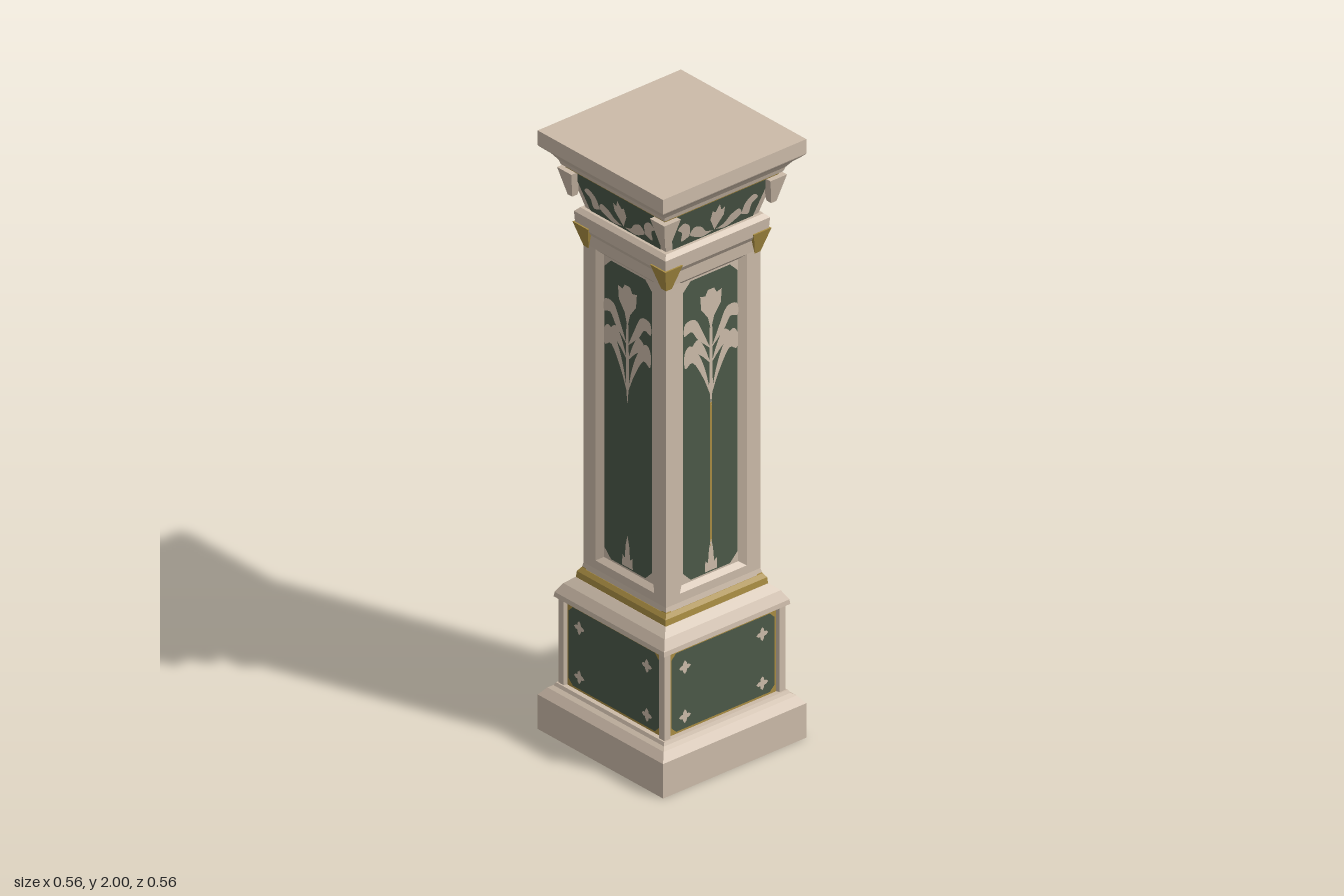
import * as THREE from 'three';

const paint = (name, color) => Object.assign(new THREE.MeshStandardMaterial({ color }), { name });
const cream = paint('cream stone', 0xcbbaa8);
const green = paint('dark green', 0x4b5848);
const gold = paint('old gold', 0xa88c42);

function add(parent, name, geometry, material, x = 0, y = 0, z = 0) {
  const mesh = new THREE.Mesh(geometry, material);
  mesh.name = name;
  mesh.position.set(x, y, z);
  parent.add(mesh);
  return mesh;
}

function faceted(geometry) {
  const g = geometry.index ? geometry.toNonIndexed() : geometry;
  g.computeVertexNormals();
  return g;
}

// Square moulding swept from [half width, y] pairs, closed at both ends
function moulding(profile) {
  const pts = [[0, profile[0][1]], ...profile, [0, profile.at(-1)[1]]];
  const v = pts.map(([h, y]) => new THREE.Vector2(h * Math.SQRT2, y));
  return faceted(new THREE.LatheGeometry(v, 4, Math.PI / 4));
}

// Recessed wall from nested rectangles [half width, bottom, top, z]
function recessedWall(loops) {
  const rings = loops.map(([w, b, t, z]) => [[-w, b, z], [w, b, z], [w, t, z], [-w, t, z]]);
  const pos = [];
  const quad = (a, b, c, d) => pos.push(...a, ...b, ...c, ...a, ...c, ...d);
  for (let i = 0; i < rings.length - 1; i++) {
    for (let k = 0; k < 4; k++) {
      const n = (k + 1) % 4;
      quad(rings[i][k], rings[i][n], rings[i + 1][n], rings[i + 1][k]);
    }
  }
  quad(...rings.at(-1));
  const g = new THREE.BufferGeometry();
  g.setAttribute('position', new THREE.Float32BufferAttribute(pos, 3));
  return faceted(g);
}

const polygon = (pts) => new THREE.Shape(pts.map(([x, y]) => new THREE.Vector2(x, y)));

// Rectangle with clipped corners
const clipped = (w, b, t, c) => new THREE.ShapeGeometry(polygon([
  [-w + c, b], [w - c, b], [w, b + c], [w, t - c], [w - c, t], [-w + c, t], [-w, t - c], [-w, b + c],
]));

// Leaf outlined by smooth curves through points, in mirrored pairs
function leafPair(points) {
  return [-1, 1].map((s) => {
    const v = points.map(([x, y]) => new THREE.Vector2(x * s, y));
    return new THREE.Shape(new THREE.SplineCurve([...v, v[0]]).getPoints(28).slice(0, -1));
  });
}

function lilyShapes() {
  return [
    // blossom
    polygon([[0, 1.42], [0.012, 1.465], [0.038, 1.5], [0.042, 1.545], [0.022, 1.54], [0.012, 1.558],
      [-0.012, 1.558], [-0.022, 1.54], [-0.042, 1.545], [-0.038, 1.5], [-0.012, 1.465]]),
    // stem
    polygon([[0, 1.16], [0.007, 1.23], [0.005, 1.43], [-0.005, 1.43], [-0.007, 1.23]]),
    // three tiers of leaves
    ...leafPair([[0.002, 1.36], [0.03, 1.42], [0.06, 1.475], [0.1, 1.475], [0.104, 1.435], [0.075, 1.44], [0.05, 1.405]]),
    ...leafPair([[0.002, 1.31], [0.025, 1.37], [0.05, 1.405], [0.075, 1.385], [0.06, 1.365], [0.035, 1.345]]),
    ...leafPair([[0.001, 1.2], [0.018, 1.28], [0.045, 1.35], [0.08, 1.395], [0.103, 1.375], [0.1, 1.325], [0.07, 1.335], [0.03, 1.27]]),
    // bud at the foot
    polygon([[-0.024, 0.618], [0.024, 0.618], [0.022, 0.655], [0.012, 0.645], [0.008, 0.69], [0, 0.725],
      [-0.008, 0.69], [-0.012, 0.645], [-0.022, 0.655]]),
  ];
}

function friezeShapes() {
  return [
    polygon([[0, 0.012], [0.012, 0.035], [0.026, 0.06], [0.024, 0.092], [0.011, 0.085], [0, 0.112],
      [-0.011, 0.085], [-0.024, 0.092], [-0.026, 0.06], [-0.012, 0.035]]),
    ...leafPair([[0.005, 0.012], [0.035, 0.022], [0.055, 0.045], [0.085, 0.058], [0.1, 0.035], [0.08, 0.018], [0.045, 0.004]]),
    ...leafPair([[0.1, 0.03], [0.108, 0.07], [0.135, 0.092], [0.155, 0.075], [0.135, 0.055], [0.13, 0.02]]),
  ];
}

// Four-petal rosettes near the pedestal panel corners
function rosetteShapes() {
  const list = [];
  for (const x of [-0.15, 0.15]) for (const y of [0.208, 0.372]) {
    const pts = [];
    for (let i = 0; i < 16; i++) {
      const a = (i / 16) * Math.PI * 2, r = 0.017 + 0.006 * Math.cos(4 * a);
      pts.push([x + r * Math.cos(a), y + r * Math.sin(a)]);
    }
    list.push(polygon(pts));
  }
  return list;
}

export function createModel() {
  const model = new THREE.Group();
  model.name = 'squareColumn';

  // Stacked mouldings
  add(model, 'plinth', moulding([[0.278, 0], [0.278, 0.115], [0.258, 0.14], [0.245, 0.148], [0.24, 0.158]]), cream);
  add(model, 'pedestalCap', moulding([[0.235, 0.438], [0.245, 0.445], [0.243, 0.46], [0.225, 0.49], [0.208, 0.505], [0.2, 0.512]]), cream);
  add(model, 'goldBand', moulding([[0.199, 0.51], [0.197, 0.532], [0.188, 0.545]]), gold);
  add(model, 'shaftFoot', moulding([[0.187, 0.544], [0.183, 0.562]]), cream);
  add(model, 'neckMoulding', moulding([[0.183, 1.63], [0.186, 1.67], [0.2, 1.69], [0.203, 1.735], [0.19, 1.748]]), cream);
  add(model, 'frieze', moulding([[0.178, 1.745], [0.215, 1.885]]), cream);
  add(model, 'friezeGoldLine', moulding([[0.22, 1.88], [0.224, 1.892]]), gold);
  add(model, 'cornice', moulding([[0.23, 1.89], [0.235, 1.905], [0.25, 1.925], [0.276, 1.948], [0.278, 1.952], [0.278, 2]]), cream);

  // Four identical sides
  const friezeTilt = Math.atan2(0.037, 0.14);
  for (let i = 0; i < 4; i++) {
    const side = new THREE.Group();
    side.name = ['front', 'left', 'back', 'right'][i] + 'Side';
    side.rotation.y = (i * Math.PI) / 2;
    model.add(side);

    add(side, 'pedestalFrame', recessedWall([[0.235, 0.15, 0.445, 0.235], [0.212, 0.157, 0.438, 0.235], [0.208, 0.158, 0.437, 0.222]]), cream);
    add(side, 'pedestalGoldBorder', clipped(0.207, 0.158, 0.438, 0.001), gold, 0, 0, 0.224);
    add(side, 'pedestalPanel', clipped(0.2, 0.166, 0.428, 0.018), green, 0, 0, 0.226);
    add(side, 'pedestalRosettes', new THREE.ShapeGeometry(rosetteShapes()), cream, 0, 0, 0.229);

    add(side, 'shaftFrame', recessedWall([[0.183, 0.555, 1.64, 0.183], [0.13, 0.59, 1.63, 0.183], [0.11, 0.605, 1.615, 0.168]]), cream);
    add(side, 'shaftPanel', clipped(0.106, 0.612, 1.61, 0.03), green, 0, 0, 0.17);
    add(side, 'lilyOrnament', new THREE.ShapeGeometry(lilyShapes()), cream, 0, 0, 0.173);
    if (i === 0) add(side, 'goldStem', new THREE.PlaneGeometry(0.008, 0.48), gold, 0, 0.94, 0.173);

    // Sloping frieze decoration
    const friezeArt = new THREE.Group();
    friezeArt.name = 'friezeDecoration';
    friezeArt.position.set(0, 1.747, 0.1805);
    friezeArt.rotation.x = friezeTilt;
    side.add(friezeArt);
    add(friezeArt, 'friezePanel', new THREE.ShapeGeometry(polygon([[-0.155, 0], [0.155, 0], [0.195, 0.138], [-0.195, 0.138]])), green);
    add(friezeArt, 'friezeLeaves', new THREE.ShapeGeometry(friezeShapes()), cream, 0, 0.004, 0.003);

    // Corner ornaments as tapered square drops
    const drop = (name, top, bottom, height, mat, c, y) => {
      const g = new THREE.CylinderGeometry(top * Math.SQRT2, bottom * Math.SQRT2, height, 4, 1, false, Math.PI / 4);
      add(side, name, faceted(g), mat, c, y, c);
    };
    drop('capitalCornerLeaf', 0.032, 0.01, 0.09, cream, 0.206, 1.835);
    drop('goldCornerBracket', 0.034, 0.008, 0.09, gold, 0.172, 1.655);
    drop('goldFootSpur', 0.004, 0.02, 0.045, gold, 0.177, 0.54);
  }
  return model;
}
